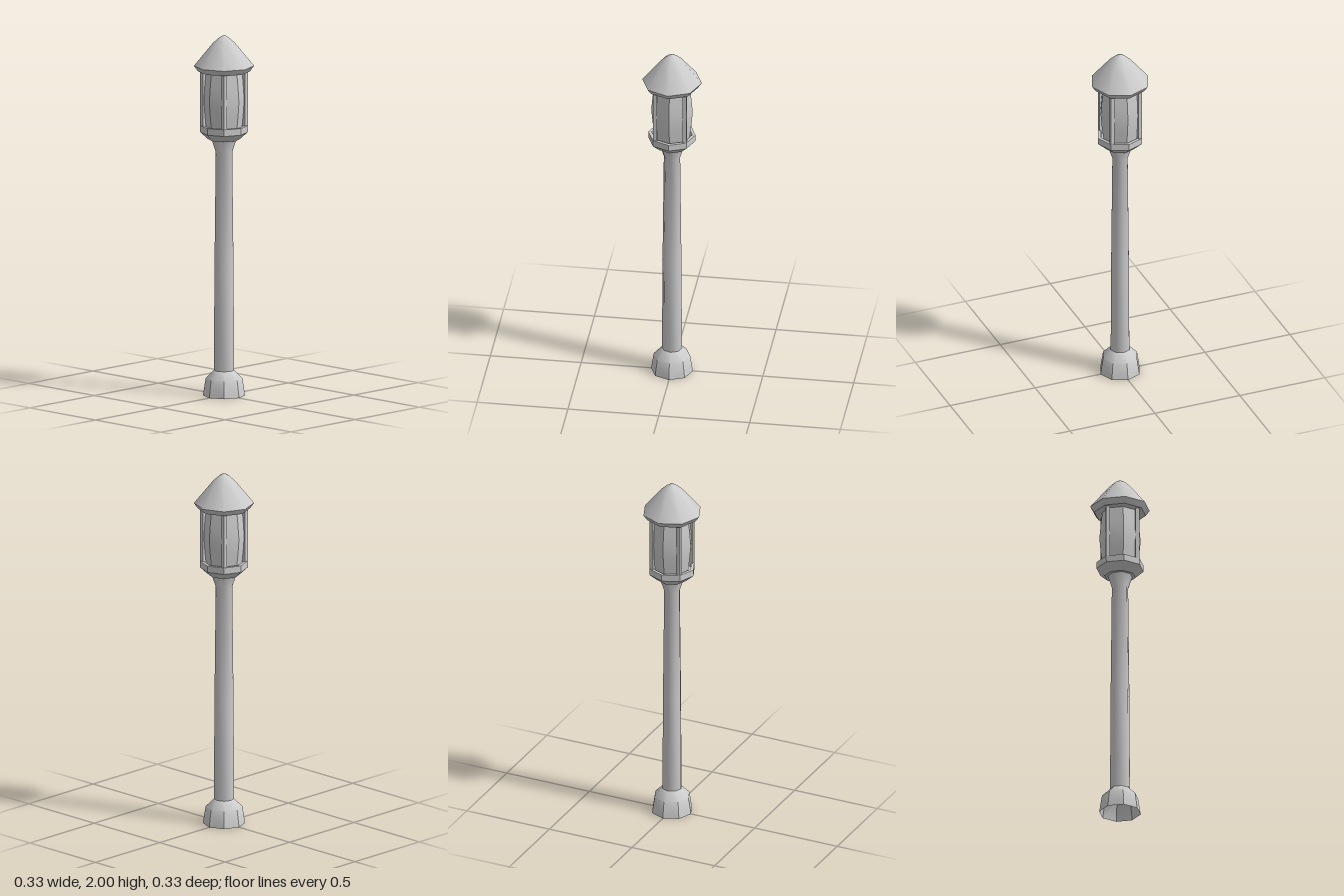
import * as THREE from 'three';
import { toCreasedNormals } from 'three/addons/utils/BufferGeometryUtils.js';

const stone = new THREE.MeshStandardMaterial({ color: 0xcccccc, side: THREE.DoubleSide });
stone.name = 'light grey';

// Eight-sided turned part; profile runs from bottom to top as [radius, y]
function turned(name, profile, creaseDegrees) {
  const points = profile.map(([r, y]) => new THREE.Vector2(r, y));
  const geometry = toCreasedNormals(
    new THREE.LatheGeometry(points, 8),
    THREE.MathUtils.degToRad(creaseDegrees)
  );
  const mesh = new THREE.Mesh(geometry, stone);
  mesh.name = name;
  return mesh;
}

export function createModel() {
  const lamp = new THREE.Group();
  lamp.name = 'lampPost';

  // Foot, hollow underneath
  lamp.add(turned('base', [[0.115, 0], [0.1, 0.095], [0.055, 0.14]], 40));

  // Tapered pole with a flared top
  lamp.add(turned('pole', [[0.055, 0.14], [0.052, 0.7], [0.045, 1.35], [0.068, 1.42]], 50));

  // Tray under the lantern with a low rim
  lamp.add(turned('collar', [
    [0, 1.42], [0.085, 1.42], [0.13, 1.46], [0.13, 1.497],
    [0.112, 1.497], [0.108, 1.475], [0, 1.475],
  ], 30));

  // Bulging faceted glass
  lamp.add(turned('glass', [
    [0.096, 1.475], [0.107, 1.56], [0.114, 1.64], [0.107, 1.72], [0.098, 1.797],
  ], 30));

  // Four corner posts
  const postGeometry = new THREE.BoxGeometry(0.022, 0.325, 0.022);
  for (const x of [-1, 1]) {
    for (const z of [-1, 1]) {
      const post = new THREE.Mesh(postGeometry, stone);
      post.name = 'lanternPost';
      post.position.set(x * 0.081, 1.6375, z * 0.081);
      lamp.add(post);
    }
  }

  // Pointed roof with a bevelled eave
  lamp.add(turned('roof', [
    [0, 1.797], [0.142, 1.797], [0.164, 1.828], [0.06, 1.955], [0.03, 1.982], [0, 2],
  ], 42));

  return lamp;
}
